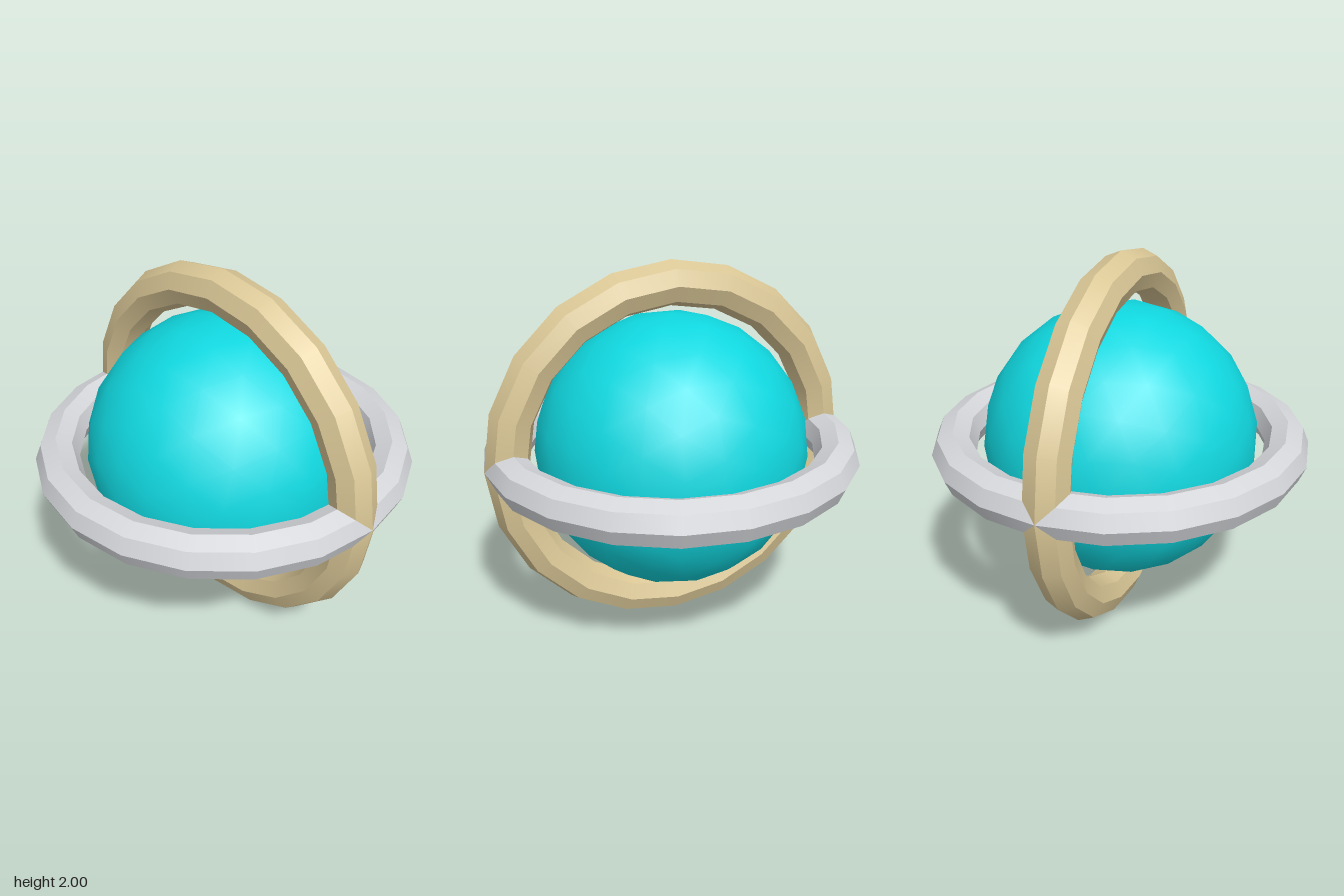
import * as THREE from 'three';
import { mergeGeometries } from 'three/addons/utils/BufferGeometryUtils.js';

const RING_RADIUS = 0.885, TUBE = 0.115, SIDES = 8, SEGMENTS = 20;

// Octagonal ring: one lathed band per side keeps the long edges sharp and the sweep smooth
function ringGeometry() {
  const corner = (i) => {
    const a = (i / SIDES) * Math.PI * 2;
    return new THREE.Vector2(RING_RADIUS + TUBE * Math.cos(a), TUBE * Math.sin(a));
  };
  const bands = [];
  for (let i = 0; i < SIDES; i++) {
    bands.push(new THREE.LatheGeometry([corner(i), corner(i + 1)], SEGMENTS));
  }
  return mergeGeometries(bands);
}

// Icosahedron halved twice, with smooth normals
function ballGeometry(radius) {
  const coarse = new THREE.IcosahedronGeometry(1, 1).attributes.position;
  const order = Array.from({ length: coarse.count }, (_, i) => i);
  return new THREE.PolyhedronGeometry(Array.from(coarse.array), order, radius, 1);
}

export function createModel() {
  const teal = new THREE.MeshStandardMaterial({ color: 0x10d8e0 });
  teal.name = 'teal';
  const gold = new THREE.MeshStandardMaterial({ color: 0xdac796 });
  gold.name = 'paleGold';
  const silver = new THREE.MeshStandardMaterial({ color: 0xd4d6da });
  silver.name = 'silver';

  const model = new THREE.Group();
  model.name = 'ringedSphere';
  const add = (name, geometry, material) => {
    const mesh = new THREE.Mesh(geometry, material);
    mesh.name = name;
    mesh.position.y = 1;
    model.add(mesh);
    return mesh;
  };

  add('sphere', ballGeometry(0.73), teal);
  add('horizontalRing', ringGeometry(), silver);
  add('verticalRing', ringGeometry(), gold).rotation.x = Math.PI / 2;

  return model;
}
